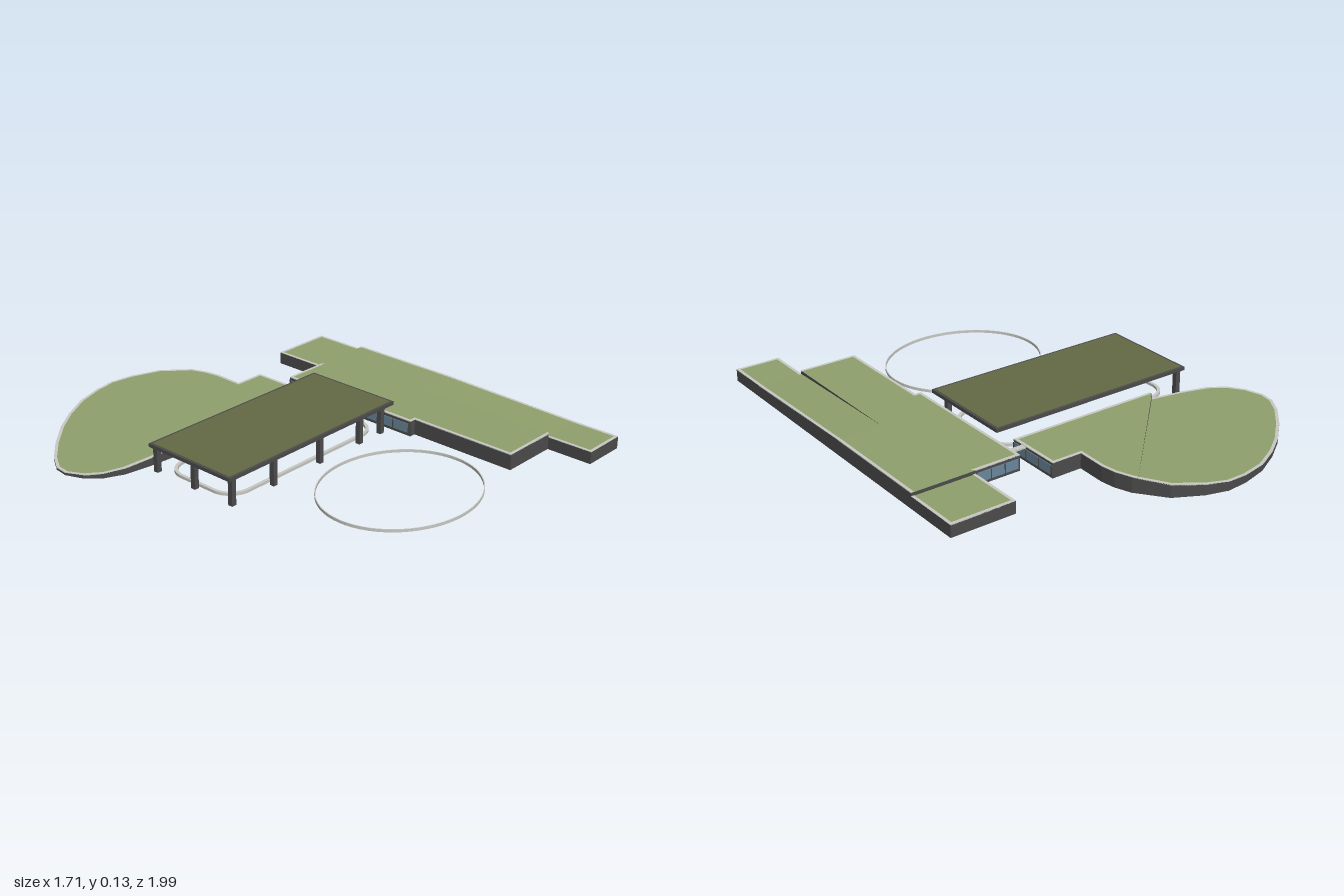
import * as THREE from 'three';

const mat = (name, color) => new THREE.MeshStandardMaterial({ name, color, side: THREE.DoubleSide });

export function createModel() {
  const grass = mat('grass green', 0x8fa06c), olive = mat('canopy olive', 0x646944);
  const dark = mat('dark grey', 0x4b4b4c), pale = mat('pale stone', 0xc9c9c4);
  const glass = mat('blue glass', 0x6b879c), navy = mat('navy ceiling', 0x1f3068);
  const root = new THREE.Group();

  const add = (name, geometry, material, x = 0, y = 0, z = 0) => {
    const m = new THREE.Mesh(geometry, material);
    m.name = name;
    m.position.set(x, y, z);
    root.add(m);
    return m;
  };
  const box = (name, material, x0, x1, y0, y1, z0, z1) => add(name,
    new THREE.BoxGeometry(x1 - x0, y1 - y0, z1 - z0), material, (x0 + x1) / 2, (y0 + y1) / 2, (z0 + z1) / 2);

  // Quads given as [a, b, c, d] corner lists
  const quads = (list) => {
    const pos = [];
    for (const [a, b, c, d] of list) pos.push(...a, ...b, ...c, ...a, ...c, ...d);
    const g = new THREE.BufferGeometry();
    g.setAttribute('position', new THREE.Float32BufferAttribute(pos, 3));
    g.computeVertexNormals();
    return g;
  };

  // Roof surface: flat outline lifted to a height rule
  const roof = (name, pts, h) => {
    const g = new THREE.ShapeGeometry(new THREE.Shape(pts.map(([x, z]) => new THREE.Vector2(x, z))));
    const p = g.attributes.position;
    for (let i = 0; i < p.count; i++) {
      const x = p.getX(i), z = p.getY(i);
      p.setXYZ(i, x, h(x, z), z);
    }
    g.index.array.reverse();
    g.computeVertexNormals();
    add(name, g, grass);
  };

  // Mitred inset of a closed outline
  const inset = (pts, w) => {
    const s = Math.sign(THREE.ShapeUtils.area(pts.map(([x, y]) => ({ x, y }))));
    const normal = (a, b) => {
      const l = Math.hypot(b[0] - a[0], b[1] - a[1]);
      return [-s * (b[1] - a[1]) / l, s * (b[0] - a[0]) / l];
    };
    return pts.map((p, i) => {
      const n = normal(pts.at(i - 1), p), m = normal(p, pts[(i + 1) % pts.length]);
      const k = w / (1 + n[0] * m[0] + n[1] * m[1]);
      return [p[0] + (n[0] + m[0]) * k, p[1] + (n[1] + m[1]) * k];
    });
  };

  // Outer walls and pale roof edging around an outline
  const perimeter = (name, pts, h) => {
    const inner = inset(pts, 0.013), walls = [], rim = [];
    pts.forEach((a, i) => {
      const j = (i + 1) % pts.length, b = pts[j], c = inner[j], d = inner[i];
      // Heights are sampled just inside each edge so that steps stay sharp
      const mx = (a[0] + b[0]) / 2, mz = (a[1] + b[1]) / 2;
      const ha = h(a[0] + (mx - a[0]) * 0.02, a[1] + (mz - a[1]) * 0.02);
      const hb = h(b[0] + (mx - b[0]) * 0.02, b[1] + (mz - b[1]) * 0.02);
      walls.push([[a[0], 0, a[1]], [b[0], 0, b[1]], [b[0], hb, b[1]], [a[0], ha, a[1]]]);
      const e = 0.002;
      rim.push([[a[0], ha + e, a[1]], [d[0], ha + e, d[1]], [c[0], hb + e, c[1]], [b[0], hb + e, b[1]]]);
      rim.push([[a[0], ha - e, a[1]], [b[0], hb - e, b[1]], [b[0], hb + e, b[1]], [a[0], ha + e, a[1]]]);
    });
    add(name + 'Walls', quads(walls), dark);
    add(name + 'RoofEdge', quads(rim), pale);
  };

  // Glazed strip with mullions between two plan points
  const glazing = (name, x0, z0, x1, z1, n) => {
    const len = Math.hypot(x1 - x0, z1 - z0), g = new THREE.Group();
    g.name = name;
    g.position.set((x0 + x1) / 2, 0.034, (z0 + z1) / 2);
    g.rotation.y = -Math.atan2(z1 - z0, x1 - x0);
    g.add(new THREE.Mesh(new THREE.BoxGeometry(len, 0.042, 0.006), glass));
    for (let i = 0; i <= n; i++) {
      const m = new THREE.Mesh(new THREE.BoxGeometry(0.005, 0.042, 0.009), dark);
      m.position.x = len * (i / n - 0.5);
      g.add(m);
    }
    g.children.forEach((m, i) => { m.name = i ? 'mullion' : 'pane'; });
    root.add(g);
  };

  // Curved pavilion: a sloping lawn roof meeting a level one along a diagonal crease
  const slope = (x, z) => Math.min(0.065, 0.0797 + 0.0639 * x + 0.03 * z);
  const level = () => 0.065;
  const cut = [0.113, -0.808], corner = [-0.407, -0.288];
  const levelEdge = [[-0.407, -0.275], [0.296, -0.275], [0.296, -0.525], [0.16, -0.525], [0.163, -0.655],
    [0.153, -0.72], [0.127, -0.79]];
  const slopeEdge = [[0.037, -0.907], [-0.08, -0.97], [-0.175, -0.997], [-0.27, -0.99], [-0.386, -0.96],
    [-0.5, -0.9], [-0.6, -0.83], [-0.71, -0.73], [-0.8, -0.63], [-0.847, -0.553], [-0.855, -0.49],
    [-0.825, -0.415], [-0.77, -0.357], [-0.69, -0.32], [-0.56, -0.3]];
  roof('pavilionLevelRoof', [corner, ...levelEdge, cut], level);
  roof('pavilionSlopingRoof', [cut, ...slopeEdge, corner], slope);
  perimeter('pavilion', [...levelEdge, cut, ...slopeEdge, corner],
    (x, z) => (x + z > -0.692 ? level() : slope(x, z)));
  add('pavilionRoofStep', quads([[[corner[0], slope(...corner), corner[1]], [cut[0], slope(...cut), cut[1]],
    [cut[0], 0.065, cut[1]], [corner[0], 0.065, corner[1]]]]), dark);
  glazing('pavilionFrontGlazing', -0.4, -0.275, 0.29, -0.275, 8);
  glazing('pavilionSideGlazing', 0.296, -0.28, 0.296, -0.52, 3);

  // Long wing: main roof, front strip ramping down and lower rear end
  const main = () => 0.068;
  const strip = (x, z) => 0.068 - 0.015 * Math.min(1, (z - 0.12) / 0.67);
  const rear = () => 0.053;
  roof('wingMainRoof', [[0.358, -0.4], [0.852, -0.4], [0.852, 0.12], [0.65, 0.12], [0.65, 0.786],
    [0.386, 0.786], [0.386, 0.294], [0.358, 0.294]], main);
  roof('wingStripRoof', [[0.65, 0.12], [0.852, 0.12], [0.852, 0.786], [0.65, 0.786]], strip);
  roof('wingFrontRoof', [[0.65, 0.786], [0.852, 0.786], [0.852, 0.992], [0.65, 0.992]], strip);
  roof('wingRearRoof', [[0.565, -0.655], [0.852, -0.655], [0.852, -0.4], [0.565, -0.4]], rear);
  perimeter('wing', [[0.565, -0.655], [0.852, -0.655], [0.852, -0.4], [0.852, 0.12], [0.852, 0.786],
    [0.852, 0.992], [0.65, 0.992], [0.65, 0.786], [0.386, 0.786], [0.386, 0.294], [0.358, 0.294],
    [0.358, -0.4], [0.565, -0.4]],
  (x, z) => (z < -0.4 ? rear() : x > 0.649 && z > 0.12 ? strip(x, z) : main()));
  add('wingInnerWalls', quads([
    [[0.65, 0, 0.12], [0.65, 0, 0.786], [0.65, 0.068, 0.786], [0.65, 0.068, 0.12]],
    [[0.65, 0.03, 0.12], [0.852, 0.03, 0.12], [0.852, 0.068, 0.12], [0.65, 0.068, 0.12]],
    [[0.565, 0.03, -0.4], [0.852, 0.03, -0.4], [0.852, 0.068, -0.4], [0.565, 0.068, -0.4]]]), dark);
  glazing('wingRearGlazing', 0.365, -0.4, 0.56, -0.4, 3);
  glazing('wingSideGlazing', 0.358, -0.39, 0.358, 0.285, 8);

  // Small link between the two buildings
  box('linkRoof', pale, 0.296, 0.358, 0.058, 0.065, -0.355, -0.33);

  // Canopy on slim columns
  box('canopySlab', dark, -0.605, 0.37, 0.111, 0.126, -0.265, 0.19);
  box('canopyTop', olive, -0.594, 0.359, 0.124, 0.1275, -0.254, 0.179);
  box('canopyCeiling', navy, -0.6, 0.365, 0.109, 0.112, -0.26, 0.185);
  const columns = [[-0.58, 0.177], [-0.35, 0.177], [-0.08, 0.177], [0.165, 0.177], [0.3, 0.177],
    [-0.58, -0.03], [-0.58, -0.245]];
  for (const [x, z] of columns) box('canopyColumn', dark, x - 0.011, x + 0.011, 0, 0.112, z - 0.011, z + 0.011);

  // Kerbs on the ground, extruded from plan rings
  const kerb = (name, outer, hole, x, z, height) => {
    outer.holes.push(hole);
    add(name, new THREE.ExtrudeGeometry(outer, { depth: height, bevelEnabled: false, curveSegments: 32 }),
      pale, x, 0, z).rotation.x = -Math.PI / 2;
  };
  const oval = (a, b) => new THREE.Shape().absellipse(0, 0, a, b, 0, Math.PI * 2);
  kerb('ovalKerb', oval(0.361, 0.313), oval(0.357, 0.309), -0.047, 0.57, 0.012);
  const rounded = (a, b, r) => new THREE.Shape()
    .absarc(a - r, b - r, r, 0, Math.PI / 2).absarc(r - a, b - r, r, Math.PI / 2, Math.PI)
    .absarc(r - a, r - b, r, Math.PI, Math.PI * 1.5).absarc(a - r, r - b, r, Math.PI * 1.5, Math.PI * 2);
  kerb('terraceKerb', rounded(0.44, 0.19, 0.1), rounded(0.426, 0.176, 0.086), -0.12, -0.04, 0.012);

  return root;
}
